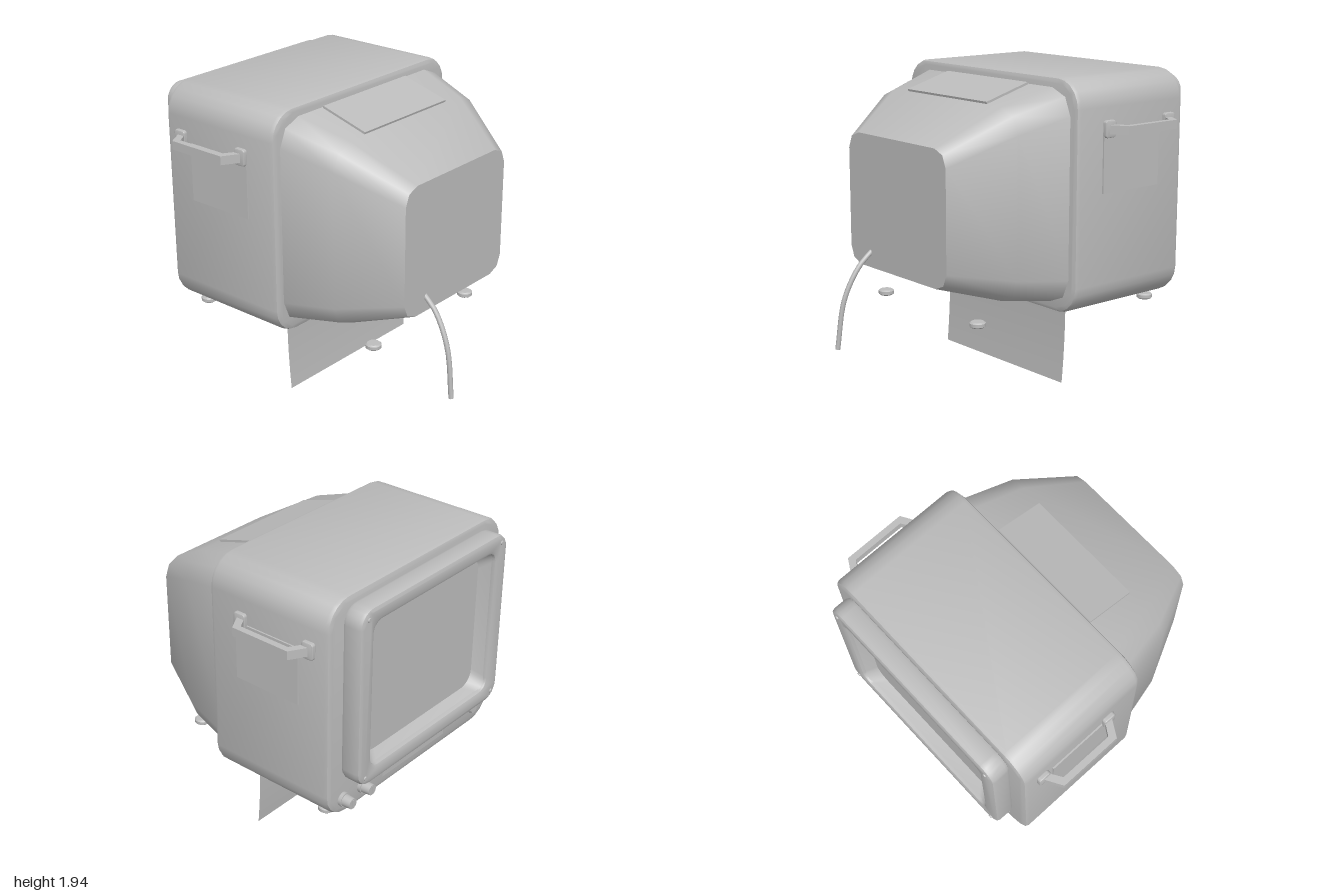
import * as THREE from 'three';
import { toCreasedNormals } from 'three/addons/utils/BufferGeometryUtils.js';

const grey = new THREE.MeshStandardMaterial({ color: 0xbcbcbc, side: THREE.DoubleSide });
grey.name = 'casing grey';

// Rounded rectangle outline, symmetric in x
function roundRect(hx, y0, y1, r, n = 5) {
  const pts = [];
  const corners = [[hx - r, y1 - r], [r - hx, y1 - r], [r - hx, y0 + r], [hx - r, y0 + r]];
  corners.forEach(([cx, cy], k) => {
    for (let i = 0; i <= n; i++) {
      const a = (k + i / n) * Math.PI / 2;
      pts.push(new THREE.Vector2(cx + r * Math.cos(a), cy + r * Math.sin(a)));
    }
  });
  return pts;
}

// Bevelled slab between z0 and z1, with an optional opening
function slab(hx, y0, y1, r, z0, z1, b, hole) {
  const shape = new THREE.Shape(roundRect(hx - b, y0 + b, y1 - b, r - b));
  if (hole) shape.holes.push(new THREE.Path(hole));
  const geo = new THREE.ExtrudeGeometry(shape, {
    depth: z1 - z0 - 2 * b, bevelThickness: b, bevelSize: b, bevelSegments: 2,
  });
  geo.translate(0, 0, z0 + b);
  return toCreasedNormals(geo, 0.6);
}

// Skin through rounded rectangles [hx, y0, y1, r, z]; optional cap on the last one
function loft(sections, n, cap) {
  const rings = sections.map(([hx, y0, y1, r, z]) =>
    roundRect(hx, y0, y1, r, n).map(p => [p.x, p.y, z]));
  const m = rings[0].length, pos = [];
  for (let i = 0; i < rings.length - 1; i++) {
    for (let j = 0; j < m; j++) {
      const k = (j + 1) % m;
      const a = rings[i][j], b = rings[i][k], c = rings[i + 1][k], d = rings[i + 1][j];
      pos.push(...a, ...b, ...c, ...a, ...c, ...d);
    }
  }
  if (cap) {
    const end = rings[rings.length - 1];
    for (let j = 1; j < m - 1; j++) pos.push(...end[0], ...end[j], ...end[j + 1]);
  }
  const geo = new THREE.BufferGeometry();
  geo.setAttribute('position', new THREE.Float32BufferAttribute(pos, 3));
  return toCreasedNormals(geo, 0.85);
}

export function createModel() {
  const model = new THREE.Group();
  model.name = 'monitor';
  const add = (name, geo, x = 0, y = 0, z = 0, parent = model) => {
    const mesh = new THREE.Mesh(geo, grey);
    mesh.name = name;
    mesh.position.set(x, y, z);
    parent.add(mesh);
    return mesh;
  };
  const disc = (r0, r1, h) => new THREE.CylinderGeometry(r0, r1, h, 20);
  const facing = (r0, r1, h) => disc(r0, r1, h).rotateX(-Math.PI / 2);

  // Main case and tapering tube housing
  add('case', slab(0.82, 0.5, 1.94, 0.18, -0.865, 0.03, 0.03));
  add('tubeHousing', loft([
    [0.76, 0.56, 1.88, 0.16, 0.02],
    [0.68, 0.61, 1.78, 0.15, 0.37],
    [0.49, 0.72, 1.56, 0.105, 0.75],
  ], 2, true));

  // Label plate lying on the sloping top of the housing
  const plate = add('topPlate', new THREE.BoxGeometry(0.78, 0.016, 0.335), 0, 1.835, 0.2);
  plate.rotation.x = Math.atan2(0.1, 0.35);

  // Screen frame, sloping recess and glass
  add('screenFrame', slab(0.7, 0.73, 1.89, 0.11, -0.995, -0.86, 0.025,
    roundRect(0.605, 0.81, 1.81, 0.09)));
  add('screenRecess', loft([
    [0.54, 0.86, 1.76, 0.1, -0.9],
    [0.585, 0.83, 1.79, 0.08, -0.975],
  ], 5, false));
  const glass = new THREE.ShapeGeometry(new THREE.Shape(roundRect(0.55, 0.85, 1.77, 0.1)));
  add('screenGlass', glass.rotateY(Math.PI), 0, 0, -0.9);
  for (const x of [-0.635, 0.635]) {
    for (const y of [0.79, 1.83]) add('frameScrew', facing(0.012, 0.015, 0.012), x, y, -0.996);
  }

  // Controls below the screen
  for (const x of [0.68, 0.5]) {
    add('knobBase', facing(0.045, 0.045, 0.025), x, 0.61, -0.875);
    add('knobCap', facing(0.034, 0.038, 0.06), x, 0.61, -0.915);
    add('knobPointer', new THREE.BoxGeometry(0.01, 0.05, 0.008), x, 0.61, -0.945);
  }
  add('controlPanel', new THREE.BoxGeometry(0.62, 0.075, 0.012), 0, 0.61, -0.868);
  for (const x of [-0.29, 0.29]) add('panelScrew', facing(0.006, 0.006, 0.006), x, 0.61, -0.875);
  add('powerButton', facing(0.03, 0.036, 0.025), -0.63, 0.61, -0.875);

  // Carry handles and side panels, mirrored
  const bar = new THREE.Shape([
    [0.83, 0.2], [0.95, 0.27], [0.95, 0.68], [0.83, 0.75],
    [0.83, 0.7], [0.91, 0.65], [0.91, 0.3], [0.83, 0.25],
  ].map(p => new THREE.Vector2(...p)));
  const barGeo = new THREE.ExtrudeGeometry(bar, { depth: 0.055, bevelEnabled: false })
    .rotateX(-Math.PI / 2);
  const bracketGeo = slab(0.0425, -0.053, 0.053, 0.018, -0.016, 0.016, 0.008)
    .rotateY(Math.PI / 2);
  for (const s of [1, -1]) {
    const side = new THREE.Group();
    side.name = s > 0 ? 'leftSide' : 'rightSide';
    side.scale.x = s;
    model.add(side);
    add('handleBar', barGeo, 0, 1.6, 0, side);
    for (const z of [-0.222, -0.73]) add('handleBracket', bracketGeo, 0.832, 1.63, z, side);
    add('sidePanel', new THREE.BoxGeometry(0.02, 0.37, 0.47), 0.82, 1.425, -0.415, side);
  }

  // Feet: narrow pair under the housing, wide pair under the case
  for (const [x, z] of [[0.47, 0.5], [0.665, -0.73]]) {
    for (const s of [-1, 1]) {
      const profile = [[0, -0.018], [0.04, -0.018], [0.05, -0.01], [0.05, 0.01], [0.04, 0.018], [0, 0.018]];
      const foot = new THREE.LatheGeometry(profile.map(p => new THREE.Vector2(...p)), 20);
      add('foot', toCreasedNormals(foot, 0.5), s * x, 0.475, z);
    }
  }

  // Gently curved hanging sheet and its fixing stud
  const sheet = new THREE.PlaneGeometry(1.16, 0.51, 1, 8);
  const p = sheet.attributes.position;
  for (let i = 0; i < p.count; i++) {
    const t = (0.255 - p.getY(i)) / 0.51;
    p.setZ(i, -0.115 + 0.025 * t * t);
  }
  sheet.computeVertexNormals();
  add('hangingSheet', sheet, 0, 0.255, 0);
  add('sheetStud', new THREE.SphereGeometry(0.02, 16, 10), 0, 0.465, -0.1);

  // Power cable
  const path = new THREE.CatmullRomCurve3([
    [-0.28, 0.83, 0.73], [-0.287, 0.74, 0.83], [-0.305, 0.54, 0.935], [-0.32, 0.22, 0.985],
  ].map(q => new THREE.Vector3(...q)));
  add('cable', new THREE.TubeGeometry(path, 12, 0.016, 8));
  const end = add('cableEnd', new THREE.CircleGeometry(0.016, 8), -0.32, 0.22, 0.985);
  end.lookAt(path.getPoint(1).add(path.getTangent(1)));

  return model;
}
